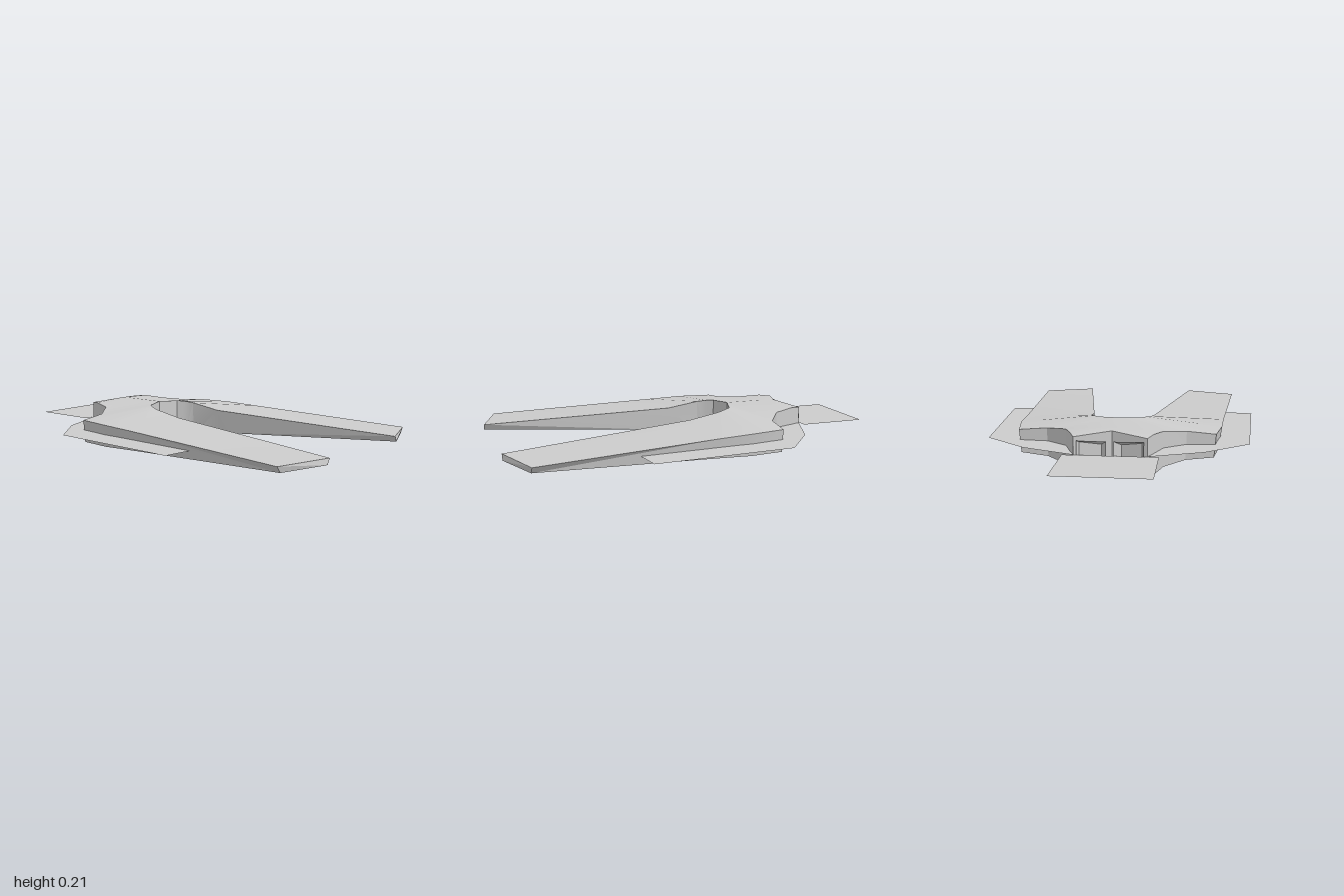
import * as THREE from 'three';
import { toCreasedNormals } from 'three/addons/utils/BufferGeometryUtils.js';

const MID = 0.105; // height of the flat plates and the hull's mid plane
const material = new THREE.MeshStandardMaterial({ color: 0xcccccc });
const thin = new THREE.MeshStandardMaterial({ color: 0xcccccc, side: THREE.DoubleSide });

// Hull sections from prong tip to stern: inner x, z, top y; outer x, z, top y; bottom inset
const SECTIONS = [
  [0.32, 1.0, 0.117, 0.6, 0.91, 0.115, 0.025],
  [0.165, 0, 0.167, 0.535, 0, 0.15, 0.02],
  [0.155, -0.17, 0.195, 0.525, -0.2, 0.157, 0.015],
  [0.135, -0.215, 0.202, 0.495, -0.38, 0.158, 0.01],
  [0.11, -0.25, 0.205, 0.35, -0.39, 0.172, 0.005],
  [0, -0.285, 0.21, 0.24, -0.47, 0.188, 0],
  [0, -0.5, 0.21, 0.2, -0.58, 0.198, 0],
  [0, -0.57, 0.208, 0.175, -0.64, 0.192, 0],
];
const FIRST_CENTRE = 5; // from here the two halves meet on the centre line

function hullGeometry() {
  const rings = SECTIONS.map(([xi, zi, yi, xo, zo, yo, inset]) => [
    [xo, yo, zo],
    [xi, yi, zi],
    [xi + (xi ? inset * 0.7 : 0), 2 * MID - yi - 0.005, zi],
    [xo - inset, 2 * MID - yo - 0.012, zo],
  ]);
  const positions = [];
  for (const side of [1, -1]) {
    const quad = (a, b, c, d) => {
      const corners = side > 0 ? [a, b, c, a, c, d] : [a, c, b, a, d, c];
      for (const [x, y, z] of corners) positions.push(x * side, y, z);
    };
    for (let i = 0; i < rings.length - 1; i++) {
      for (let k = 0; k < 4; k++) {
        if (k === 1 && i >= FIRST_CENTRE) continue; // no wall inside the body
        const n = (k + 1) % 4;
        quad(rings[i][k], rings[i + 1][k], rings[i + 1][n], rings[i][n]);
      }
    }
    const [a, b, c, d] = rings[0];
    quad(a, b, c, d); // prong tip
    const [e, f, g, h] = rings[rings.length - 1];
    quad(h, g, f, e); // stern
  }
  const geometry = new THREE.BufferGeometry();
  geometry.setAttribute('position', new THREE.Float32BufferAttribute(positions, 3));
  return toCreasedNormals(geometry, 0.4);
}

// Flat horizontal sheet from x, z points
function sheet(name, points, y) {
  const shape = new THREE.Shape(points.map(([x, z]) => new THREE.Vector2(x, -z)));
  const mesh = new THREE.Mesh(new THREE.ShapeGeometry(shape).rotateX(-Math.PI / 2), thin);
  mesh.position.y = y;
  mesh.name = name;
  return mesh;
}

// Open four-sided nozzle flaring towards the stern
function nozzle(name, x) {
  const geometry = new THREE.CylinderGeometry(0.045, 0.1, 0.08, 4, 1, true)
    .rotateY(Math.PI / 4)
    .rotateX(Math.PI / 2);
  const mesh = new THREE.Mesh(toCreasedNormals(geometry, 0.3), thin);
  mesh.position.set(x, MID, -0.61);
  mesh.name = name;
  return mesh;
}

export function createModel() {
  const group = new THREE.Group();
  group.name = 'ship';

  const hull = new THREE.Mesh(hullGeometry(), material);
  hull.name = 'hull';
  group.add(hull);

  // Side plates and engine nozzles, mirrored
  const wing = [[0.18, -0.64], [0.44, -0.535], [0.66, -0.355], [0.7, 0.375],
    [0.55, 0.392], [0.42, -0.3], [0.3, -0.36], [0.17, -0.5]];
  for (const [label, side] of [['left', 1], ['right', -1]]) {
    group.add(sheet(label + 'SidePlate', wing.map(([x, z]) => [x * side, z]), MID));
    group.add(nozzle(label + 'Nozzle', 0.088 * side));
  }

  // Tail plate in two panels
  for (const [label, x0, x1] of [['left', -0.035, 0.23], ['right', -0.23, -0.035]]) {
    group.add(sheet(label + 'TailPanel', [[x0, -1], [x1, -1], [x1, -0.645], [x0, -0.645]], MID));
  }
  return group;
}
